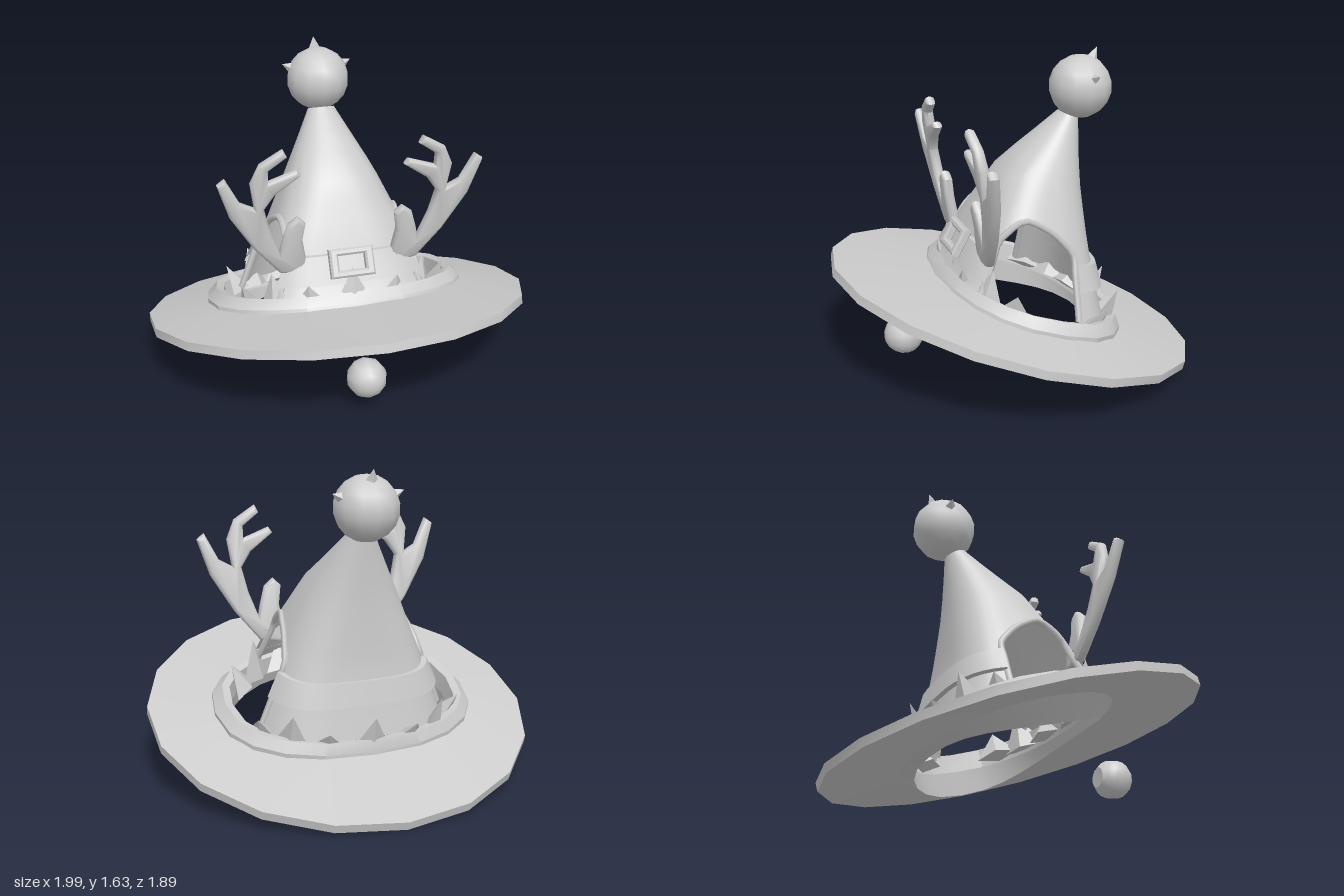
import * as THREE from 'three';
import { toCreasedNormals } from 'three/addons/utils/BufferGeometryUtils.js';

const grey = new THREE.MeshStandardMaterial({ color: 0xcccccc, side: THREE.DoubleSide });
const rad = THREE.MathUtils.degToRad, mix = THREE.MathUtils.lerp;
const spow = (v, e) => Math.sign(v) * Math.abs(v) ** e;

function mesh(name, geo, crease) {
  const m = new THREE.Mesh(crease ? toCreasedNormals(geo, crease) : geo, grey);
  m.name = name;
  return m;
}

// Surface of closed columns and open rows; skip(col, row) leaves out cells
function grid(cols, rows, point, skip = () => false) {
  const pos = [], index = [];
  for (let r = 0; r < rows; r++) for (let c = 0; c < cols; c++) pos.push(...point(c, r));
  for (let r = 0; r < rows - 1; r++) for (let c = 0; c < cols; c++) {
    if (skip(c, r)) continue;
    const a = r * cols + c, b = r * cols + (c + 1) % cols;
    index.push(a, b, a + cols, b, b + cols, a + cols);
  }
  const g = new THREE.BufferGeometry();
  g.setAttribute('position', new THREE.Float32BufferAttribute(pos, 3));
  g.setIndex(index);
  g.computeVertexNormals();
  return g;
}

// Crown sections: front z, front y, back z, back y, half width
const sections = [
  [-0.27, 1.30, -0.37, 1.26, 0.07], [0.05, 1.04, -0.36, 0.95, 0.23], [0.20, 0.78, -0.37, 0.62, 0.36],
  [0.31, 0.56, -0.40, 0.42, 0.44], [0.42, 0.43, -0.43, 0.26, 0.50],
];
function crownPoint(a, u, k = 1) {
  const i = Math.min(3, Math.floor(u));
  const [fz, fy, bz, by, hx] = sections[i].map((v, j) => mix(v, sections[i + 1][j], u - i));
  const e = Math.max(0.6, 1 - 0.2 * u);
  const s = spow(Math.sin(a), e), t = (s + 1) / 2;
  return [k * hx * spow(Math.cos(a), e), mix(by, fy, t), (fz + bz) / 2 + k * s * (fz - bz) / 2];
}

// Crown columns, with an ear opening from -16 to 46 degrees on each side
const angles = [], inHole = [];
for (const [from, to, n, hole] of [[-16, 46, 10, true], [46, 134, 10, false], [134, 196, 10, true], [196, 344, 14, false]])
  for (let i = 0; i < n; i++) { angles.push(rad(mix(from, to, i / n))); inHole.push(hole); }
function archTop(a) {
  const d = Math.min(1, Math.abs(Math.abs(a - Math.PI / 2) - rad(75)) / rad(31));
  return 1.67 + 0.48 * d * d;
}

// Oval ring through a profile of [half width, half depth, height, squareness]
const ring = (n, profile, cz = 0) => grid(n, profile.length, (c, r) => {
  const a = Math.PI / 2 + c / n * Math.PI * 2, [rx, rz, y, e = 1] = profile[r];
  const yy = typeof y === 'function' ? y(a) : y;
  return [rx * spow(Math.cos(a), e), yy, cz * (rx < 0.8 ? 1 : 0) + rz * spow(Math.sin(a), e)];
});

function antler(side) {
  const outline = [[0.24, 0.61], [0.36, 0.63], [0.49, 0.79], [0.61, 0.99], [0.67, 1.18], [0.63, 1.21], [0.56, 1.07],
    [0.49, 1.03], [0.51, 1.17], [0.465, 1.27], [0.35, 1.34], [0.33, 1.30], [0.42, 1.235], [0.42, 1.17], [0.28, 1.22],
    [0.26, 1.19], [0.385, 1.10], [0.44, 1.02], [0.41, 0.89], [0.36, 0.75], [0.35, 0.81], [0.32, 0.91], [0.27, 0.95],
    [0.23, 0.91], [0.245, 0.81], [0.225, 0.70]].map(p => new THREE.Vector2(...p));
  const g = new THREE.ExtrudeGeometry(new THREE.Shape(outline),
    { depth: 0.012, bevelThickness: 0.022, bevelSize: 0.018, bevelOffset: -0.018, bevelSegments: 2 });
  // Lean forward with height
  const p = g.attributes.position;
  for (let i = 0; i < p.count; i++) p.setZ(i, p.getZ(i) + 0.22 + (p.getY(i) - 0.62) * 0.14);
  g.computeVertexNormals();
  const m = mesh(side > 0 ? 'leftAntler' : 'rightAntler', g, 0.9);
  m.scale.x = side;
  return m;
}

function spike(name, dir, length, radius) {
  const d = new THREE.Vector3(...dir).normalize();
  const m = mesh(name, new THREE.ConeGeometry(radius, length, 4), 0.5);
  m.position.set(0, 1.42, -0.385).addScaledVector(d, 0.15 + length / 2);
  m.quaternion.setFromUnitVectors(new THREE.Vector3(0, 1, 0), d);
  return m;
}

export function createModel() {
  const hat = new THREE.Group();
  hat.name = 'hat';

  // Tilted base: brim, head band and wreath
  const base = new THREE.Group();
  base.name = 'tiltedBase';
  base.position.y = 0.29;
  base.rotation.x = -0.285;
  hat.add(base);
  base.add(mesh('brim', ring(18, [[0.67, 0.48, 0.0], [1.01, 0.98, -0.03], [1.01, 0.98, 0.015], [0.67, 0.48, 0.065]], -0.03), 0.5));
  const dip = a => -0.03 - 0.08 * Math.cos(a) ** 2;
  base.add(mesh('headBand', ring(24, [[0.69, 0.49, 0.0, 0.85], [0.60, 0.42, dip, 0.85], [0.59, 0.41, 0.02, 0.85]], -0.04), 0.6));
  base.add(mesh('wreath', ring(20, [[0.69, 0.49, 0.03, 0.85], [0.69, 0.48, 0.08, 0.85], [0.64, 0.45, 0.13, 0.85],
    [0.60, 0.42, 0.12, 0.85], [0.59, 0.41, 0.02, 0.85]], -0.04), 0.4));

  // Pointed leaves along the front and back of the wreath
  for (const half of [1, -1]) for (let i = 0; i < 7; i++) {
    const a = half * rad(30 + i * 20), tall = i % 2 ? 0.22 : 0.16;
    const leaf = mesh('leaf', new THREE.ConeGeometry(0.11, tall, 4), 0.3);
    leaf.scale.z = 0.45;
    leaf.position.set(0.58 * spow(Math.cos(a), 0.9), 0.04 + tall / 2, -0.04 + 0.43 * spow(Math.sin(a), 0.9));
    leaf.rotation.set(i % 2 ? 0.15 : 0.5, Math.PI / 2 - a, 0, 'YXZ');
    base.add(leaf);
  }

  // Crown with ear openings
  const n = angles.length;
  hat.add(mesh('crown', grid(n, 11, (c, r) => {
    const top = archTop(angles[c]);
    return crownPoint(angles[c], r <= 6 ? top * r / 6 : mix(top, 4, (r - 6) / 4));
  }, (c, r) => inHole[c] && r >= 6)));

  // Rims of the ear openings
  for (const side of [1, -1]) {
    const pts = [];
    const add = (deg, u) => {
      const [x, y, z] = crownPoint(rad(deg), u);
      pts.push(new THREE.Vector3(x * side, y, z));
    };
    for (const u of [3.9, 3.2, 2.6]) add(46, u);
    for (let i = 0; i <= 8; i++) add(mix(46, -16, i / 8), archTop(rad(mix(46, -16, i / 8))));
    for (const u of [2.6, 3.2, 3.9]) add(-16, u);
    hat.add(mesh('earOpeningRim', new THREE.TubeGeometry(new THREE.CatmullRomCurve3(pts), 28, 0.018, 5)));
  }

  // Hat band and buckle
  const bandProfile = [[2.35, 1], [2.35, 1.07], [2.95, 1.08], [2.95, 1]];
  hat.add(mesh('hatBand', grid(n, 4, (c, r) => crownPoint(angles[c], ...bandProfile[r]), c => inHole[c]), 0.6));
  const rect = (Kind, w, h) => new Kind([[-w, -h], [w, -h], [w, h], [-w, h]].map(p => new THREE.Vector2(...p)));
  const frame = rect(THREE.Shape, 0.115, 0.075);
  frame.holes.push(rect(THREE.Path, 0.07, 0.038));
  const buckle = mesh('buckle', new THREE.ExtrudeGeometry(frame,
    { depth: 0.03, bevelThickness: 0.01, bevelSize: 0.01, bevelOffset: -0.01, bevelSegments: 1 }));
  buckle.position.set(0, 0.665, 0.285);
  buckle.rotation.x = -0.5;
  hat.add(buckle);

  hat.add(antler(1), antler(-1));

  // Pompom with small ears and a top spike
  const pompom = mesh('pompom', new THREE.SphereGeometry(0.165, 12, 9));
  pompom.position.set(0, 1.42, -0.385);
  hat.add(pompom, spike('topSpike', [0, 1, -0.45], 0.07, 0.035));
  for (const s of [1, -1]) hat.add(spike('sideSpike', [s, 0.45, -0.15], 0.055, 0.03));

  // Round nose with a flat back
  const noseProfile = [new THREE.Vector2(0, -0.085)];
  for (let i = 0; i <= 8; i++) {
    const t = mix(-1.02, Math.PI / 2, i / 8);
    noseProfile.push(new THREE.Vector2(Math.max(0, 0.103 * Math.cos(t)), 0.103 * Math.sin(t)));
  }
  const nose = mesh('nose', new THREE.LatheGeometry(noseProfile, 10), 0.7);
  nose.rotation.x = Math.PI / 2;
  nose.position.set(0, 0.165, 0.59);
  hat.add(nose);
  return hat;
}
